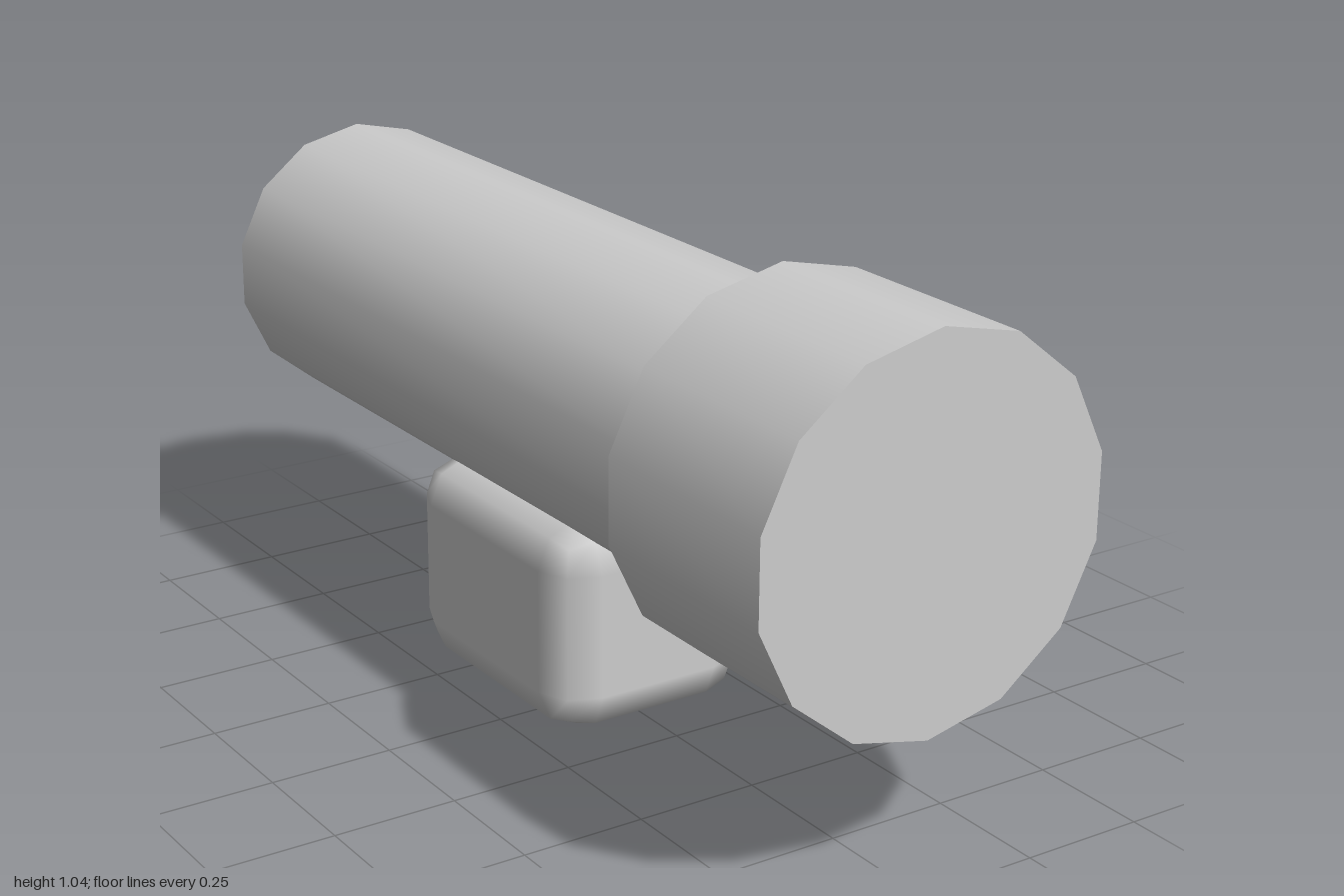
import * as THREE from 'three';
import { RoundedBoxGeometry } from 'three/addons/geometries/RoundedBoxGeometry.js';

export function createModel() {
  const group = new THREE.Group();
  const grey = new THREE.MeshStandardMaterial({ color: 0xcccccc });
  grey.name = 'lightGrey';

  const add = (name, geometry, y, z) => {
    const mesh = new THREE.Mesh(geometry, grey);
    mesh.name = name;
    mesh.position.set(0, y, z);
    group.add(mesh);
  };

  // Fourteen-sided tube lying along z
  const tube = (name, radius, back, front) =>
    add(name, new THREE.CylinderGeometry(radius, radius, front - back, 14).rotateX(Math.PI / 2),
      0.669, (front + back) / 2);

  tube('barrel', 0.295, -1, 0.56);
  tube('head', 0.37, 0.56, 1);

  // Rounded mounting block under the barrel
  add('mount', new RoundedBoxGeometry(0.442, 0.434, 0.59, 1, 0.09), 0.217, -0.107);

  return group;
}
